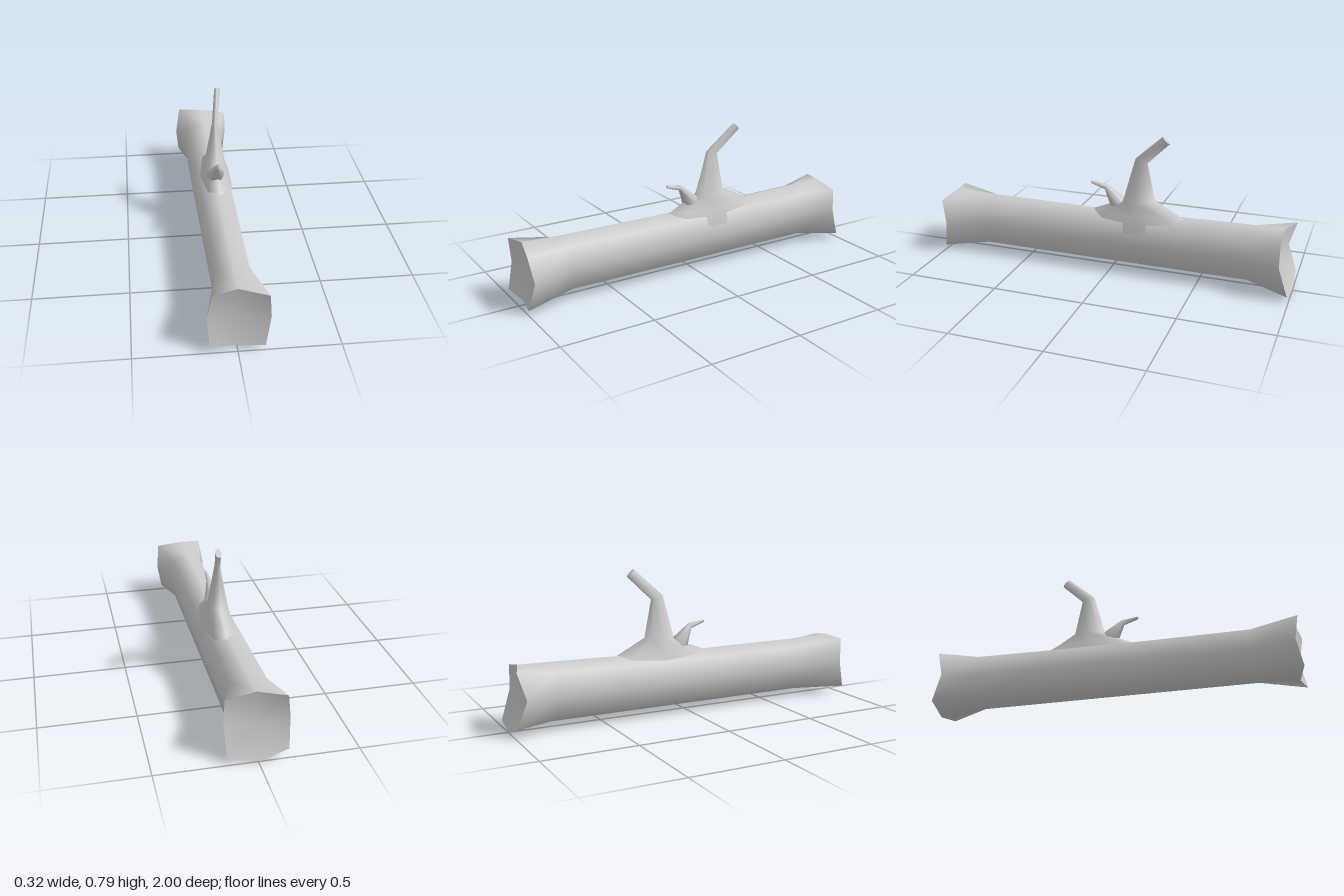
import * as THREE from 'three';

const material = new THREE.MeshStandardMaterial({ color: 0xcccccc, side: THREE.DoubleSide });

function buildMesh(name, points, index) {
  const geometry = new THREE.BufferGeometry();
  geometry.setAttribute('position', new THREE.Float32BufferAttribute(points.flat(), 3));
  geometry.setIndex(index);
  geometry.computeVertexNormals();
  const mesh = new THREE.Mesh(geometry, material);
  mesh.name = name;
  return mesh;
}

// Smooth skin over rings that run counter-clockwise around the direction of travel
function loft(name, rings) {
  const n = rings[0].length;
  const index = [];
  for (let i = 0; i < rings.length - 1; i++) {
    for (let j = 0; j < n; j++) {
      const k = (j + 1) % n;
      const a = i * n + j, b = i * n + k, c = a + n, d = b + n;
      index.push(a, b, c, b, d, c);
    }
  }
  return buildMesh(name, rings.flat(), index);
}

// Fan that closes a ring around a centre point
function cap(name, ring, center, flip = false) {
  const n = ring.length;
  const index = [];
  for (let j = 0; j < n; j++) {
    const k = (j + 1) % n;
    index.push(n, flip ? k : j, flip ? j : k);
  }
  return buildMesh(name, [...ring, center], index);
}

// Elliptical ring whose axis leans from +y towards +z by tilt degrees
function limbRing(x, y, z, rx, rz, tilt, sides = 8) {
  const t = THREE.MathUtils.degToRad(tilt);
  return Array.from({ length: sides }, (_, j) => {
    const a = (j / sides) * Math.PI * 2;
    const s = rz * Math.sin(a);
    return [x + rx * Math.cos(a), y + s * Math.sin(t), z - s * Math.cos(t)];
  });
}

// Eight-sided cross-section of the log
function logRing(z, left, right, top, bottom) {
  const mid = (top + bottom) / 2, h = (top - bottom) / 2;
  return [
    [right, mid, z], [right * 0.8, mid + h * 0.76, z], [0, top, z], [left * 0.8, mid + h * 0.76, z],
    [left, mid, z], [left * 0.8, mid - h * 0.76, z], [0, bottom, z], [right * 0.8, mid - h * 0.76, z],
  ];
}

export function createModel() {
  const model = new THREE.Group();
  model.name = 'fallenLog';

  // Log with jagged flared ends
  const backEnd = [
    [0.155, 0.19, -0.94], [0.15, 0.32, -0.94], [0, 0.347, -0.94], [-0.14, 0.335, -0.985],
    [-0.165, 0.195, -0.945], [-0.15, 0.05, -0.995], [-0.01, 0.003, -1], [0.145, 0.03, -0.99],
  ];
  const frontEnd = [
    [0.16, 0.175, 0.97], [0.147, 0.315, 0.995], [0, 0.343, 0.965], [-0.12, 0.33, 0.99],
    [-0.145, 0.19, 0.97], [-0.135, 0.045, 1], [-0.01, 0.017, 0.97], [0.132, 0.03, 1],
  ];
  model.add(loft('logBark', [
    backEnd,
    logRing(-0.77, -0.12, 0.11, 0.345, 0.03),
    logRing(-0.4, -0.117, 0.108, 0.338, 0.03),
    logRing(0.13, -0.108, 0.107, 0.332, 0.03),
    logRing(0.74, -0.097, 0.106, 0.335, 0.03),
    frontEnd,
  ]));
  model.add(cap('backCutFace', backEnd, [0, 0.18, -0.92], true));
  model.add(cap('frontCutFace', frontEnd, [0, 0.18, 0.94]));

  // Bent main branch with a spreading root
  const branchTip = limbRing(0.036, 0.772, -0.3, 0.016, 0.027, -45);
  const branch = new THREE.Group();
  branch.name = 'branch';
  branch.add(loft('branchBark', [
    limbRing(0.005, 0.24, -0.15, 0.1, 0.32, 0),
    limbRing(0.01, 0.335, -0.145, 0.078, 0.255, 0),
    limbRing(0.007, 0.41, -0.145, 0.056, 0.09, 6),
    limbRing(0.008, 0.635, -0.158, 0.014, 0.036, -16),
    branchTip,
  ]));
  branch.add(cap('branchTip', branchTip, [0.036, 0.772, -0.3]));
  model.add(branch);

  // Small hooked twig in front of the branch
  const twigTip = limbRing(0.01, 0.486, 0.13, 0.007, 0.008, 85, 6);
  const twig = new THREE.Group();
  twig.name = 'twig';
  twig.add(loft('twigBark', [
    limbRing(0, 0.33, -0.07, 0.03, 0.03, 40, 6),
    limbRing(0, 0.383, -0.019, 0.05, 0.044, 40, 6),
    limbRing(0.008, 0.465, 0.043, 0.017, 0.016, 65, 6),
    twigTip,
  ]));
  twig.add(cap('twigTip', twigTip, [0.01, 0.486, 0.13]));
  model.add(twig);

  return model;
}
